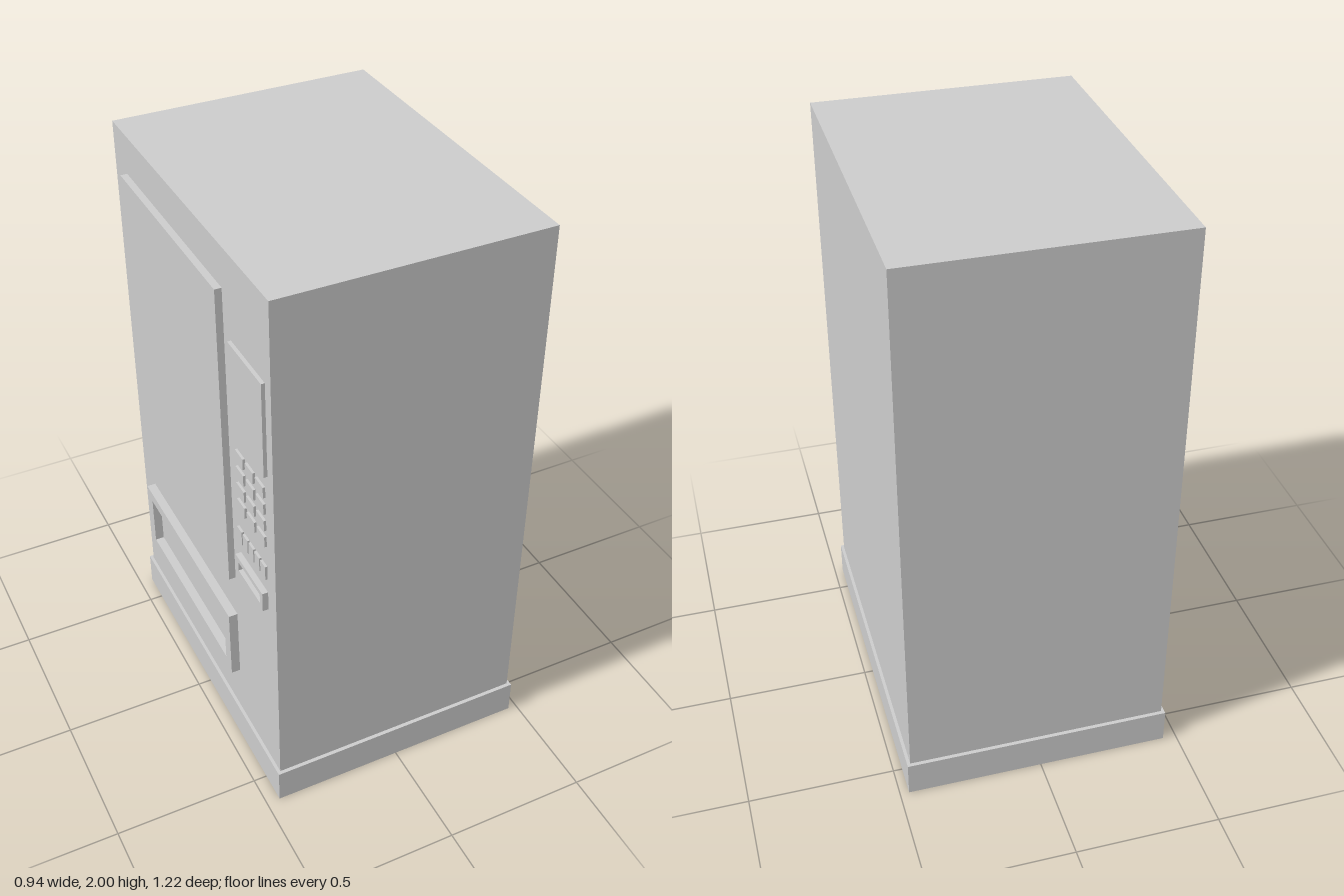
import * as THREE from 'three';

const grey = new THREE.MeshStandardMaterial({ color: 0xcccccc });
grey.name = 'light grey';

const FACE = -0.442; // x of the cabinet's service face, which looks towards -x

export function createModel() {
  const group = new THREE.Group();
  group.name = 'vendingMachine';

  const add = (name, geometry) => {
    const mesh = new THREE.Mesh(geometry, grey);
    mesh.name = name;
    group.add(mesh);
    return mesh;
  };

  // Box given by its lower and upper corners
  const box = (name, x0, x1, y0, y1, z0, z1) => {
    const mesh = add(name, new THREE.BoxGeometry(x1 - x0, y1 - y0, z1 - z0));
    mesh.position.set((x0 + x1) / 2, (y0 + y1) / 2, (z0 + z1) / 2);
  };

  // Solid slab standing out from the service face
  const slab = (name, depth, y0, y1, z0, z1) =>
    box(name, FACE - depth, FACE, y0, y1, z0, z1);

  // Frame with a rectangular opening, standing out from the service face
  const frame = (name, depth, y0, y1, z0, z1, insetY, insetZ) => {
    const rect = (path, a, b, c, d) =>
      path.moveTo(a, c).lineTo(b, c).lineTo(b, d).lineTo(a, d).closePath();
    const shape = rect(new THREE.Shape(), z0, z1, y0, y1);
    shape.holes.push(rect(new THREE.Path(), z0 + insetZ, z1 - insetZ, y0 + insetY, y1 - insetY));
    const geometry = new THREE.ExtrudeGeometry(shape, { depth, bevelEnabled: false });
    geometry.rotateY(-Math.PI / 2);
    add(name, geometry).position.x = FACE;
  };

  // Cabinet and plinth
  box('cabinet', FACE, 0.458, 0.125, 2, -0.595, 0.595);
  box('plinth', -0.453, 0.469, 0, 0.125, -0.608, 0.608);

  // Display window and delivery tray
  slab('displayWindow', 0.023, 0.75, 1.862, -0.49, 0.273);
  frame('deliveryTray', 0.031, 0.312, 0.582, -0.49, 0.273, 0.04, 0.045);

  // Screen panel
  slab('screenPanel', 0.012, 1.385, 1.715, 0.325, 0.557);

  // Keypad
  for (let row = 0; row < 4; row++) {
    for (let col = 0; col < 3; col++) {
      const y = 1.1 + row * 0.064;
      const z = 0.336 + col * 0.073;
      slab('keypadButton', 0.008, y, y + 0.04, z, z + 0.056);
    }
  }

  // Row of small coin selectors
  for (let i = 0; i < 5; i++) {
    const z = 0.325 + i * 0.044;
    slab('coinSelector', 0.008, 0.965, 1.018, z, z + 0.036);
  }

  // Coin return
  frame('coinReturn', 0.02, 0.838, 0.91, 0.332, 0.537, 0.018, 0.02);

  return group;
}
